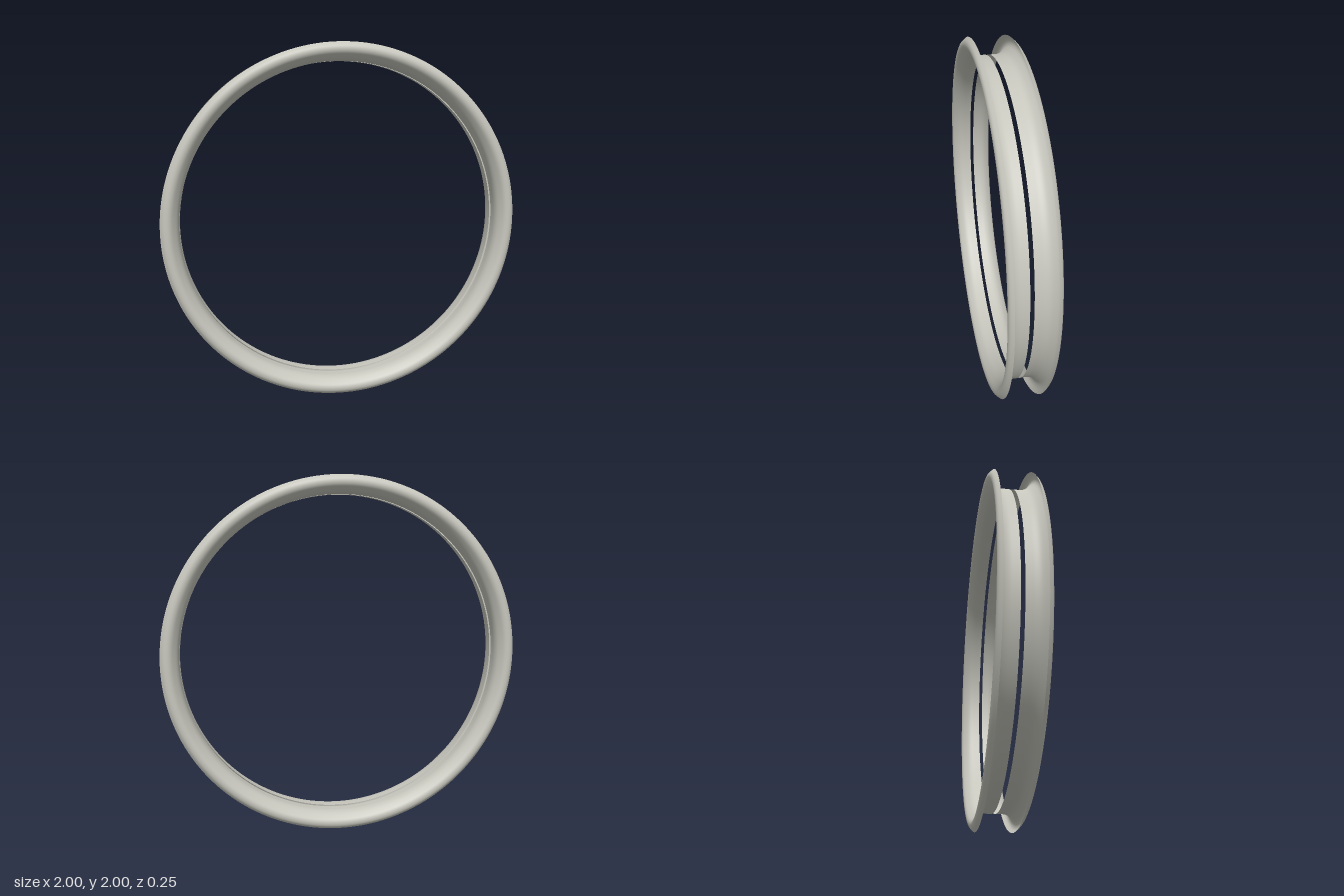
import * as THREE from 'three';

const metal = new THREE.MeshStandardMaterial({ color: 0xc6c6bd, side: THREE.DoubleSide });
metal.name = 'pale grey metal';

// Cross-section of one half: flat inner band flaring into a rolled outer lip (radius, depth)
const section = new THREE.SplineCurve([
  [0.903, 0.01], [0.903, 0.035], [0.904, 0.06], [0.911, 0.083], [0.926, 0.104],
  [0.943, 0.12], [0.962, 0.125], [0.982, 0.119], [1.0, 0.1],
].map(([r, d]) => new THREE.Vector2(r, d)));

export function createModel() {
  const group = new THREE.Group();
  group.name = 'splitRim';

  // Thin shell of revolution, turned so its axis runs along z
  const shell = new THREE.LatheGeometry(section.getPoints(32), 160);
  shell.rotateX(Math.PI / 2);

  // Two facing halves with a narrow gap between them
  for (const [name, turn] of [['frontRimHalf', 0], ['backRimHalf', Math.PI]]) {
    const half = new THREE.Mesh(shell, metal);
    half.name = name;
    half.rotation.y = turn;
    half.position.y = 1;
    group.add(half);
  }
  return group;
}
